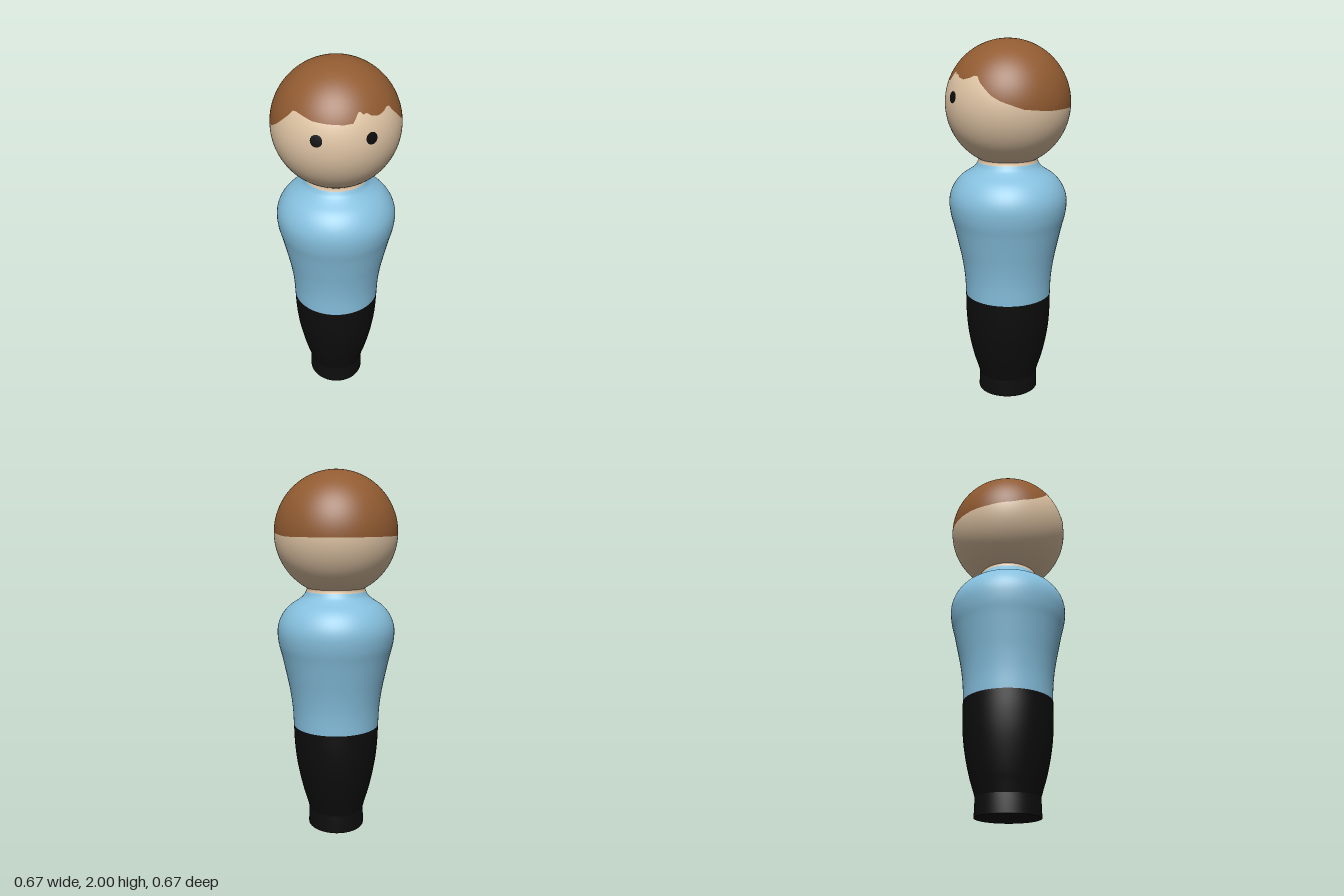
import * as THREE from 'three';
import { mergeVertices } from 'three/addons/utils/BufferGeometryUtils.js';

const HEAD_R = 0.333, HEAD_Y = 1.667;

// Hairline: [azimuth in degrees from the front towards +x, height]
const HAIRLINE = [
  [-180, 1.656], [-118, 1.656], [-94, 1.67], [-76, 1.704], [-68, 1.73], [-60, 1.765], [-54, 1.795],
  [-50, 1.822], [-46, 1.824], [-38, 1.814], [-28, 1.8], [-16, 1.794], [0, 1.79], [8, 1.794],
  [12, 1.825], [14, 1.837], [16, 1.836], [18, 1.824], [22, 1.828], [26, 1.812], [34, 1.805], [42, 1.815],
  [46, 1.825], [50, 1.824], [54, 1.795], [60, 1.765], [66, 1.735], [74, 1.71], [94, 1.67],
  [118, 1.656], [180, 1.656],
];

function hairHeight(deg) {
  for (let i = 1; i < HAIRLINE.length; i++) {
    const [a0, y0] = HAIRLINE[i - 1], [a1, y1] = HAIRLINE[i];
    if (deg <= a1) return y0 + (y1 - y0) * (deg - a0) / (a1 - a0);
  }
  return HAIRLINE[0][1];
}

// Sphere surface above or below the hairline
function headGeometry(above) {
  const cols = 180, rows = 28, pos = [], nor = [], idx = [];
  for (let c = 0; c <= cols; c++) {
    const deg = -180 + c * 360 / cols, a = deg * Math.PI / 180;
    const edge = Math.acos((hairHeight(deg) - HEAD_Y) / HEAD_R);
    for (let r = 0; r <= rows; r++) {
      const t = r / rows;
      const polar = above ? edge * t : edge + (Math.PI - edge) * t;
      const n = [Math.sin(polar) * Math.sin(a), Math.cos(polar), Math.sin(polar) * Math.cos(a)];
      nor.push(...n);
      pos.push(...n.map((v) => v * HEAD_R));
      if (c < cols && r < rows) {
        const p = c * (rows + 1) + r, q = p + rows + 1;
        idx.push(p, p + 1, q, q, p + 1, q + 1);
      }
    }
  }
  const g = new THREE.BufferGeometry();
  g.setAttribute('position', new THREE.Float32BufferAttribute(pos, 3));
  g.setAttribute('normal', new THREE.Float32BufferAttribute(nor, 3));
  g.setIndex(idx);
  return g;
}

// The legs are slightly deeper than wide
const depthScale = (y) => 1 + 0.08 * (1 - THREE.MathUtils.smoothstep(y, 0.1, 0.68));

function turned(points, samples) {
  const curve = new THREE.CatmullRomCurve3(points.map(([r, y]) => new THREE.Vector3(r, y, 0)), false, 'centripetal');
  const profile = curve.getPoints(samples).map((p) => new THREE.Vector2(p.x, p.y));
  let g = new THREE.LatheGeometry(profile, 64);
  const p = g.attributes.position;
  for (let i = 0; i < p.count; i++) p.setZ(i, p.getZ(i) * depthScale(p.getY(i)));
  g.deleteAttribute('uv');
  g.deleteAttribute('normal');
  g = mergeVertices(g, 1e-5);
  g.computeVertexNormals();
  return g;
}

export function createModel() {
  const group = new THREE.Group();
  const material = (name, color) => new THREE.MeshStandardMaterial({ name, color });
  const skin = material('skin', 0xe0c5a5);
  const hairBrown = material('hair brown', 0x915b31);
  const blue = material('shirt blue', 0x86c0de);
  const black = material('black', 0x0d0d0d);
  const add = (name, geometry, mat, y = 0) => {
    const mesh = new THREE.Mesh(geometry, mat);
    mesh.name = name;
    mesh.position.y = y;
    group.add(mesh);
    return mesh;
  };

  // Legs: short straight foot, then a swelling taper
  add('foot', turned([[0.158, 0], [0.157, 0.05], [0.155, 0.1]], 4), black);
  add('trousers', turned([[0.155, 0.1], [0.169, 0.15], [0.184, 0.2], [0.208, 0.3],
    [0.226, 0.4], [0.236, 0.5], [0.24, 0.6]], 24), black);
  const sole = add('sole', new THREE.CircleGeometry(0.158, 64).rotateX(Math.PI / 2), black);
  sole.scale.z = depthScale(0);

  // Torso with rounded shoulders
  add('shirt', turned([[0.24, 0.6], [0.245, 0.7], [0.258, 0.8], [0.278, 0.9], [0.3, 1], [0.317, 1.07],
    [0.323, 1.14], [0.314, 1.19], [0.29, 1.238], [0.254, 1.278], [0.206, 1.31], [0.178, 1.333],
    [0.164, 1.357]], 48), blue);
  add('neck', turned([[0.164, 1.356], [0.16, 1.37], [0.162, 1.395]], 6), skin);

  // Head
  add('face', headGeometry(false), skin, HEAD_Y);
  add('hair', headGeometry(true), hairBrown, HEAD_Y);

  // Eyes: thin curved discs on the face
  for (const side of [-1, 1]) {
    const cap = new THREE.SphereGeometry(HEAD_R + 0.002, 32, 4, 0, Math.PI * 2, 0, 0.09);
    const eye = add(side > 0 ? 'leftEye' : 'rightEye', cap, black, HEAD_Y);
    eye.quaternion.setFromUnitVectors(new THREE.Vector3(0, 1, 0),
      new THREE.Vector3(side * 0.13, 0.048, 0.303).normalize());
  }
  return group;
}
